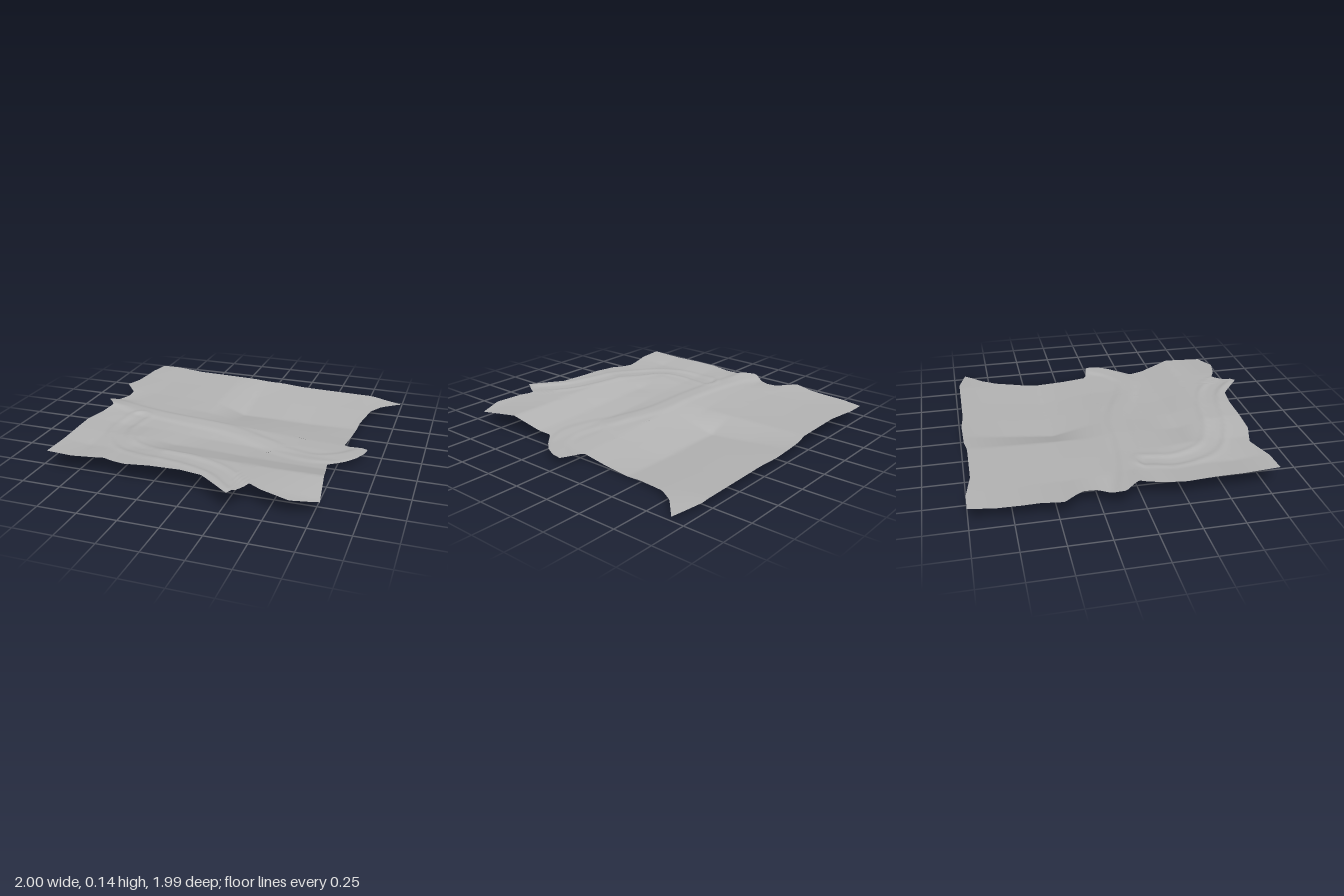
import * as THREE from 'three';

// Outline of the sheet, one [x, z] list per side
const LEFT = [[-0.93, -1], [-0.96, -0.85], [-0.97, -0.6], [-1, -0.47], [-0.9, -0.35], [-0.9, -0.27],
  [-0.98, -0.12], [-0.9, -0.02], [-0.95, 0.25], [-0.94, 0.45], [-0.93, 0.82]];
const RIGHT = [[1, -0.92], [0.87, -0.8], [0.81, -0.7], [0.77, -0.5], [0.75, -0.03], [0.91, 0],
  [0.9, 0.08], [0.86, 0.16], [0.8, 0.23], [0.71, 0.31], [0.76, 0.65], [0.79, 0.87]];
const BACK = [[-0.93, -1], [-0.8, -1], [-0.6, -0.965], [-0.25, -0.965], [-0.15, -0.98], [0.1, -0.985],
  [0.25, -0.97], [0.8, -0.97], [1, -0.92]];
const FRONT = [[-0.93, 0.82], [-0.77, 0.82], [-0.57, 0.77], [-0.41, 0.82], [-0.05, 0.82], [0.09, 0.84],
  [0.29, 0.99], [0.38, 0.84], [0.46, 0.88], [0.63, 0.925], [0.79, 0.87]];

// Ground heights: rows run back to front, columns left edge to right edge
const XS = [-1, -0.75, -0.5, -0.25, -0.05, 0.2, 0.45, 0.75, 1];
const ZS = [-1, -0.7, -0.4, -0.2, -0.03, 0.1, 0.22, 0.4, 0.6, 0.85];
const HEIGHTS = [
  [0.095, 0.095, 0.09, 0.085, 0.07, 0.06, 0.055, 0.05, 0.025],
  [0.10, 0.09, 0.085, 0.08, 0.035, 0.035, 0.03, 0.03, 0.03],
  [0.115, 0.09, 0.085, 0.075, 0.005, 0.005, 0.0, 0.005, 0.02],
  [0.095, 0.10, 0.09, 0.075, 0.05, 0.04, 0.03, 0.02, 0.02],
  [0.14, 0.11, 0.10, 0.095, 0.085, 0.07, 0.05, 0.04, 0.045],
  [0.12, 0.11, 0.10, 0.09, 0.08, 0.07, 0.055, 0.045, 0.045],
  [0.125, 0.10, 0.10, 0.085, 0.07, 0.06, 0.05, 0.045, 0.045],
  [0.13, 0.105, 0.115, 0.085, 0.085, 0.075, 0.07, 0.065, 0.065],
  [0.13, 0.10, 0.11, 0.135, 0.135, 0.13, 0.125, 0.125, 0.12],
  [0.135, 0.125, 0.115, 0.135, 0.14, 0.135, 0.125, 0.10, 0.09],
];

// Centre lines of the two winding tracks
const track = (pts) => new THREE.CatmullRomCurve3(pts.map(([x, z]) => new THREE.Vector3(x, 0, z))).getPoints(70);
const UPPER = track([[-0.95, -0.1], [-0.7, -0.03], [-0.35, 0.02], [0, 0.05], [0.25, 0.14], [0.45, 0.22],
  [0.62, 0.24], [0.78, 0.16], [0.9, 0.02]]);
const LOWER = track([[-0.65, 0.08], [-0.67, 0.3], [-0.58, 0.5], [-0.35, 0.62], [-0.05, 0.68], [0.15, 0.75], [0.33, 0.9]]);

// Index and fraction of t within a sorted list
function locate(list, t) {
  let i = 0;
  while (i < list.length - 2 && t > list[i + 1]) i++;
  return [i, THREE.MathUtils.clamp((t - list[i]) / (list[i + 1] - list[i]), 0, 1)];
}

// Point on an outline side; axis 0 runs along x, axis 1 along z
function along(side, axis, t) {
  const keys = side.map((p) => p[axis]);
  const last = keys.length - 1;
  const [i, f] = locate(keys, keys[0] + (keys[last] - keys[0]) * t);
  return side[i].map((c, k) => c + (side[i + 1][k] - c) * f);
}

function distance(points, x, z) {
  let best = Infinity;
  for (const p of points) best = Math.min(best, Math.hypot(p.x - x, p.z - z));
  return best;
}

function height(x, z) {
  const { lerp, smoothstep } = THREE.MathUtils;
  const [i, fx] = locate(XS, x);
  const [j, fz] = locate(ZS, z);
  const ground = lerp(lerp(HEIGHTS[j][i], HEIGHTS[j][i + 1], fx), lerp(HEIGHTS[j + 1][i], HEIGHTS[j + 1][i + 1], fx), fz);
  // Raised upper bank and a shallow lower track with a rim
  const bank = 0.008 * (1 - smoothstep(distance(UPPER, x, z), 0.04, 0.09));
  const d = distance(LOWER, x, z);
  const rim = 0.005 * (smoothstep(d, 0.045, 0.065) - smoothstep(d, 0.065, 0.1)) - 0.004 * (1 - smoothstep(d, 0.03, 0.05));
  return ground + bank + rim;
}

export function createModel() {
  const N = 100;
  const positions = [];
  const indices = [];
  // Blend the four sides into a grid, then lift it to the ground height
  for (let j = 0; j <= N; j++) {
    const v = j / N;
    const l = along(LEFT, 1, v);
    const r = along(RIGHT, 1, v);
    for (let i = 0; i <= N; i++) {
      const u = i / N;
      const b = along(BACK, 0, u);
      const f = along(FRONT, 0, u);
      const [x, z] = [0, 1].map((k) => (1 - u) * l[k] + u * r[k] + (1 - v) * b[k] + v * f[k]
        - (1 - u) * (1 - v) * BACK[0][k] - u * (1 - v) * RIGHT[0][k]
        - (1 - u) * v * FRONT[0][k] - u * v * FRONT[FRONT.length - 1][k]);
      positions.push(x, height(x, z), z);
      if (i < N && j < N) {
        const a = j * (N + 1) + i;
        const c = a + N + 1;
        indices.push(a, c, a + 1, a + 1, c, c + 1);
      }
    }
  }
  const geometry = new THREE.BufferGeometry();
  geometry.setAttribute('position', new THREE.Float32BufferAttribute(positions, 3));
  geometry.setIndex(indices);
  geometry.computeVertexNormals();

  const stone = new THREE.MeshStandardMaterial({ color: 0xb4b4b4, side: THREE.DoubleSide });
  stone.name = 'stone grey';
  const terrain = new THREE.Mesh(geometry, stone);
  terrain.name = 'terrain';
  const group = new THREE.Group();
  group.name = 'landscape';
  group.add(terrain);
  return group;
}
